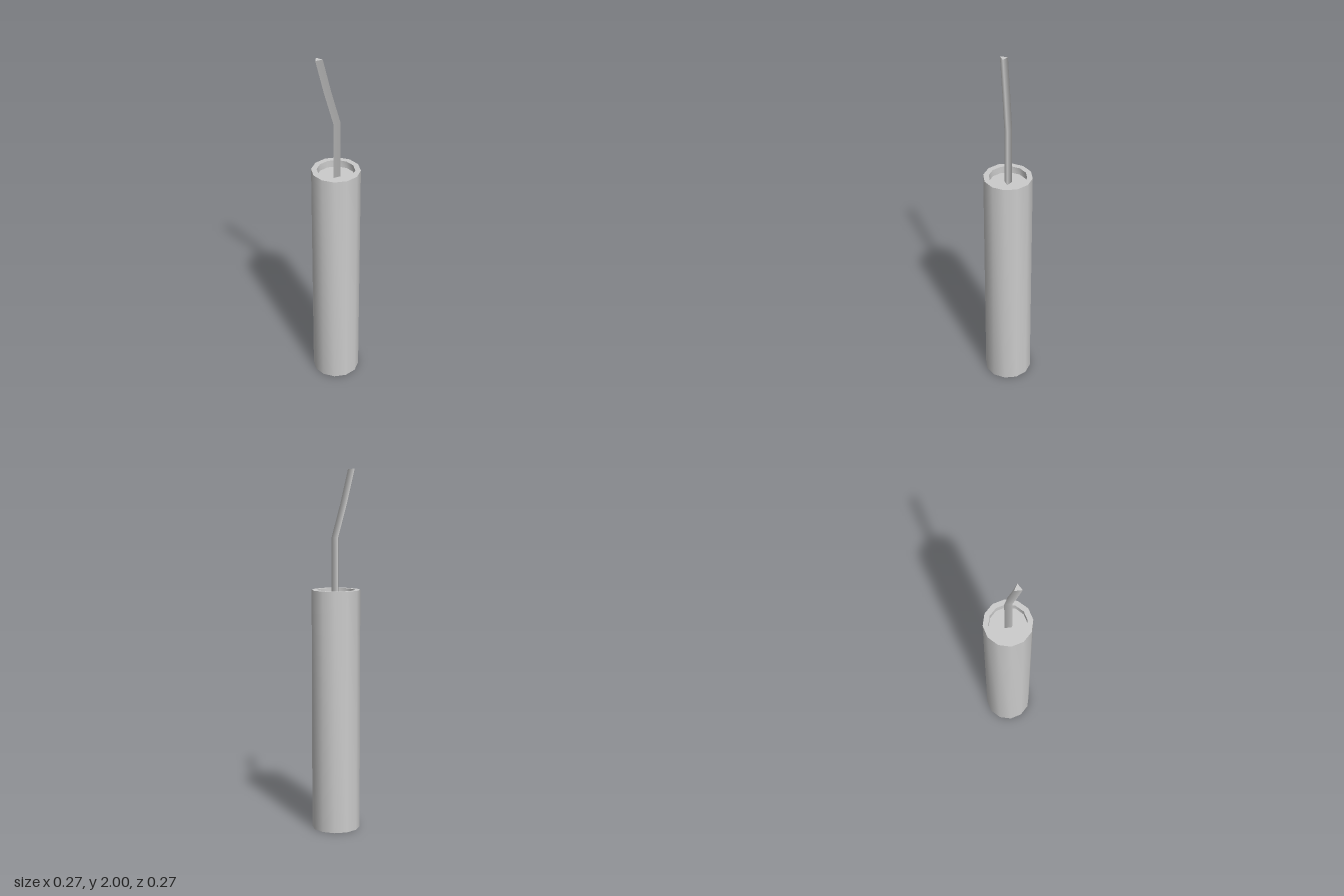
import * as THREE from 'three';
import { toCreasedNormals } from 'three/addons/utils/BufferGeometryUtils.js';

const material = new THREE.MeshStandardMaterial({ color: 0xcccccc });

// Twelve-sided stick with a closed base and a shallow recess in the top
function makeStick() {
  const profile = [
    [0, 0], [0.134, 0], [0.134, 1.345],
    [0.104, 1.345], [0.104, 1.305], [0, 1.305],
  ].map(([r, y]) => new THREE.Vector2(r, y));
  const mesh = new THREE.Mesh(toCreasedNormals(new THREE.LatheGeometry(profile, 12), 0.7), material);
  mesh.name = 'stick';
  return mesh;
}

// Three-sided fuse whose level cross-sections follow a bent path
function makeFuse() {
  const path = [
    [0, 1.305, 0], [0, 1.63, 0], [-0.046, 1.81, 0.017], [-0.088, 2, 0.035],
  ];
  const last = path.length - 1;
  const geometry = new THREE.CylinderGeometry(0.024, 0.024, 1, 3, last, false, Math.PI / 2);
  const pos = geometry.attributes.position;
  for (let i = 0; i < pos.count; i++) {
    const [x, y, z] = path[Math.round((pos.getY(i) + 0.5) * last)];
    pos.setXYZ(i, pos.getX(i) + x, y, pos.getZ(i) + z);
  }
  const mesh = new THREE.Mesh(geometry, material);
  mesh.name = 'fuse';
  return mesh;
}

export function createModel() {
  const model = new THREE.Group();
  model.name = 'fusedStick';
  model.add(makeStick(), makeFuse());
  return model;
}
